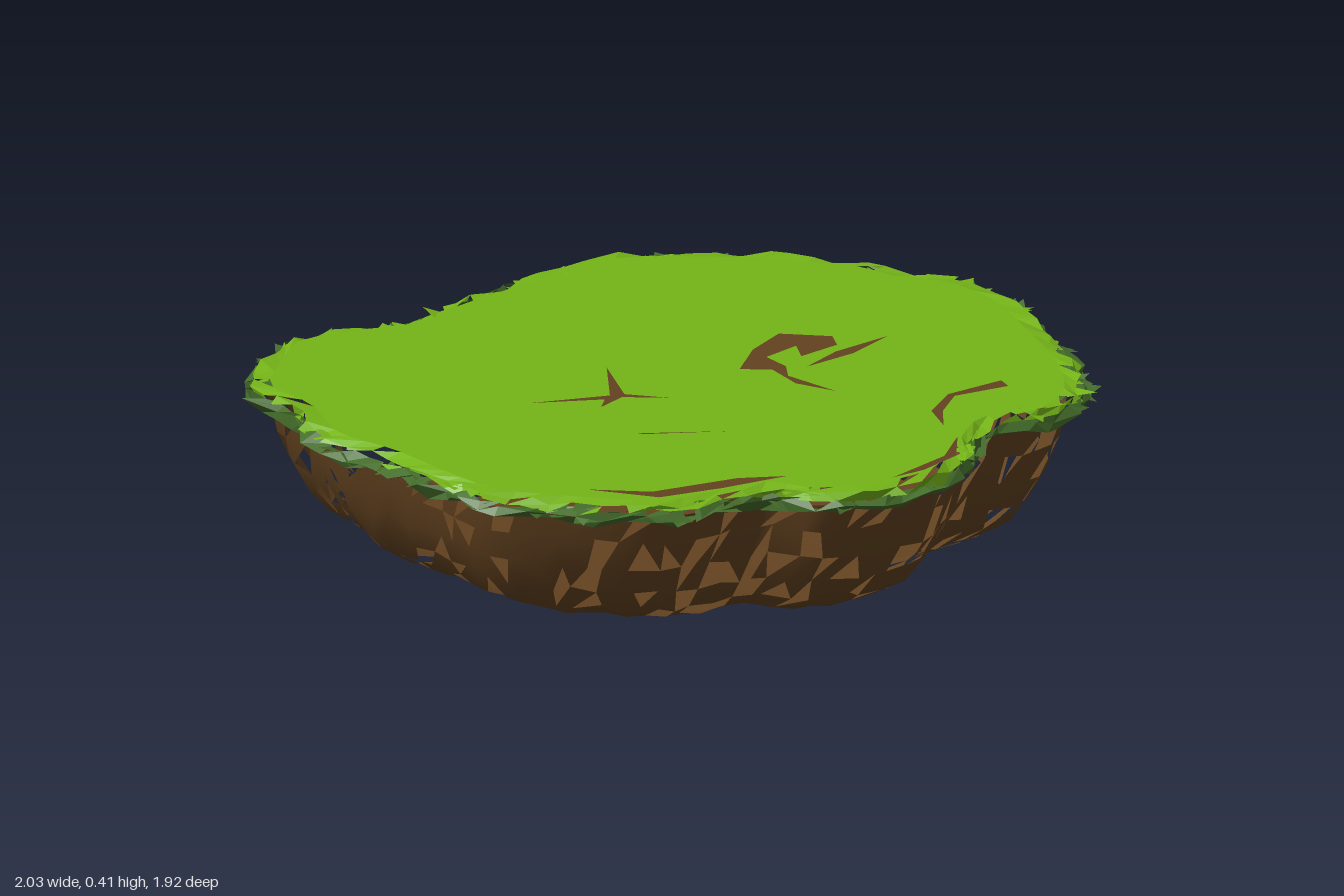
import * as THREE from 'three';

const SEGMENTS = 100;

// Island outline as [x, z], clockwise from the back
const OUTLINE = [
  [-0.45, -0.95], [-0.30, -0.90], [-0.15, -0.82], [0.05, -0.82], [0.30, -0.80],
  [0.56, -0.77], [0.72, -0.62], [0.84, -0.45], [0.94, -0.25], [0.95, -0.10],
  [1.0, 0.0], [0.97, 0.20], [0.87, 0.38], [0.72, 0.62], [0.55, 0.80],
  [0.40, 0.84], [0.25, 0.78], [0.12, 0.83], [0.0, 0.90], [-0.18, 0.95],
  [-0.35, 0.90], [-0.47, 0.80], [-0.49, 0.70], [-0.62, 0.65], [-0.80, 0.57],
  [-0.91, 0.40], [-1.0, 0.20], [-0.98, 0.0], [-0.94, -0.20], [-0.93, -0.40],
  [-0.81, -0.60], [-0.76, -0.78], [-0.60, -0.88],
];

// Bare-earth scars in the turf, as [x, z] polygons
const SCARS = [
  [[0.11, 0.06], [0.24, -0.01], [0.37, -0.04], [0.44, 0.07], [0.40, 0.12], [0.28, 0.11],
    [0.33, 0.05], [0.22, 0.05], [0.20, 0.13], [0.15, 0.18], [0.14, 0.34], [0.12, 0.23], [0.16, 0.12]],
  [[0.23, 0.17], [0.36, 0.15], [0.53, 0.17], [0.38, 0.19]],
  [[-0.41, -0.16], [-0.24, -0.05], [-0.09, -0.19], [-0.21, -0.03], [-0.16, 0.07],
    [-0.23, -0.02], [-0.32, -0.01], [-0.27, -0.04]],
  [[0.12, 0.70], [0.18, 0.61], [0.30, 0.56], [0.46, 0.59], [0.44, 0.63], [0.30, 0.58], [0.20, 0.63]],
  [[-0.80, 0.36], [-0.71, 0.49], [-0.50, 0.58], [-0.41, 0.66], [-0.58, 0.60], [-0.73, 0.53]],
  [[-0.41, 0.18], [-0.25, 0.34], [-0.40, 0.20]],
  [[-0.25, 0.86], [-0.05, 0.85], [0.08, 0.78], [-0.03, 0.87], [-0.16, 0.88]],
];

function seeded(seed) {
  let s = seed;
  return () => (s = (s * 16807) % 2147483647) / 2147483647;
}

// Stack of scaled outlines; each level is { scale, y, rough, slide, gaps }.
// rough chips the edge, slide shifts points along it, gaps drops faces below it.
function loft(outline, levels, random) {
  const positions = [];
  const indices = [];
  const kept = [];
  const n = outline.length;
  const addFace = (gaps, ...face) => {
    indices.push(...face);
    if (random() >= gaps) kept.push(...face);
  };
  levels.forEach(({ scale, y, rough = 0, slide = 0, gaps = 0 }, j) => {
    const below = levels[j + 1];
    outline.forEach((p, i) => {
      const q = p.clone().lerp(outline[(i + 1) % n], slide * random());
      const s = scale - rough * random();
      positions.push(q.x * s, y + (rough * 0.3 + slide * 0.02) * (random() - 0.5), q.z * s);
      if (!below) return;
      const a = j * n + i;
      const b = j * n + (i + 1) % n;
      if (below.scale > 0) addFace(gaps, a, b + n, a + n);
      if (scale > 0) addFace(gaps, a, b, below.scale > 0 ? b + n : a + n);
    });
  });
  const geometry = new THREE.BufferGeometry();
  geometry.setAttribute('position', new THREE.Float32BufferAttribute(positions, 3));
  geometry.setIndex(indices);
  geometry.computeVertexNormals();
  geometry.setIndex(kept);
  return geometry;
}

function faceted(geometry) {
  const flat = geometry.toNonIndexed();
  flat.computeVertexNormals();
  return flat;
}

// Loose tilted triangles scattered around the rim, between heights low and high
function rimShards(outline, count, reach, low, high, random) {
  const positions = [];
  for (let i = 0; i < count; i++) {
    const centre = outline[Math.floor(random() * outline.length)];
    const scale = reach + 0.03 * random();
    const turn = random() * Math.PI * 2;
    for (let k = 0; k < 3; k++) {
      const angle = turn - k * 2.09;
      const radius = 0.025 + 0.03 * random();
      positions.push(
        centre.x * scale + radius * Math.cos(angle),
        low + (high - low) * random(),
        centre.z * scale + radius * Math.sin(angle));
    }
  }
  const geometry = new THREE.BufferGeometry();
  geometry.setAttribute('position', new THREE.Float32BufferAttribute(positions, 3));
  geometry.computeVertexNormals();
  return geometry;
}

function addMesh(parent, name, geometry, material) {
  const mesh = new THREE.Mesh(geometry, material);
  mesh.name = name;
  parent.add(mesh);
  return mesh;
}

export function createModel() {
  const island = new THREE.Group();
  island.name = 'island';

  const grass = new THREE.MeshStandardMaterial({ color: 0x75b518, side: THREE.DoubleSide });
  grass.name = 'grass green';
  const darkGrass = new THREE.MeshStandardMaterial({ color: 0x446d2a, side: THREE.DoubleSide });
  darkGrass.name = 'dark grass green';
  const earth = new THREE.MeshStandardMaterial({ color: 0x644320, side: THREE.DoubleSide });
  earth.name = 'earth brown';

  const curve = new THREE.CatmullRomCurve3(
    OUTLINE.map(([x, z]) => new THREE.Vector3(x, 0, z)), true);
  const outline = curve.getSpacedPoints(SEGMENTS).slice(0, SEGMENTS);
  const random = seeded(4217);

  // Flat turf with a chipped sloping edge
  addMesh(island, 'grassTurf', faceted(loft(outline, [
    { scale: 0, y: 0.405 },
    { scale: 0.93, y: 0.405, gaps: 0.08 },
    { scale: 0.98, y: 0.4, rough: 0.03, slide: 0.6, gaps: 0.3 },
    { scale: 1.0, y: 0.385, rough: 0.04, slide: 0.6 },
  ], random)), grass);
  addMesh(island, 'grassShards', rimShards(outline, 45, 0.93, 0.385, 0.408, random), grass);

  // Ragged, broken lip of darker grass overhanging the soil
  addMesh(island, 'grassLip', faceted(loft(outline, [
    { scale: 0.985, y: 0.39, rough: 0.03, slide: 0.6, gaps: 0.15 },
    { scale: 1.015, y: 0.375, rough: 0.05, slide: 0.6, gaps: 0.15 },
    { scale: 0.995, y: 0.355, rough: 0.04, slide: 0.6, gaps: 0.2 },
    { scale: 0.92, y: 0.352 },
  ], random)), darkGrass);
  addMesh(island, 'lipShards', rimShards(outline, 75, 0.95, 0.355, 0.398, random), darkGrass);

  // Rounded bowl of crumbling soil, broken through on the sides, with a flat base
  addMesh(island, 'earthBowl', loft(outline, [
    { scale: 0.935, y: 0.36, gaps: 0.22 },
    { scale: 0.92, y: 0.29, slide: 0.8, gaps: 0.28 },
    { scale: 0.89, y: 0.21, slide: 0.8, gaps: 0.28 },
    { scale: 0.85, y: 0.14, slide: 0.8, gaps: 0.28 },
    { scale: 0.8, y: 0.08, slide: 0.8, gaps: 0.28 },
    { scale: 0.73, y: 0.04, slide: 0.6, gaps: 0.15 },
    { scale: 0.64, y: 0.012 },
    { scale: 0.5, y: 0.002 },
    { scale: 0.4, y: 0 },
    { scale: 0, y: 0 },
  ], random), earth);

  // Thin bare patches lying on the turf
  const scars = new THREE.Group();
  scars.name = 'earthScars';
  SCARS.forEach((points) => {
    const shape = new THREE.Shape(points.map(([x, z]) => new THREE.Vector2(x, -z)));
    const geometry = new THREE.ShapeGeometry(shape).rotateX(-Math.PI / 2);
    addMesh(scars, 'earthScar', geometry, earth).position.y = 0.408;
  });
  island.add(scars);

  return island;
}
